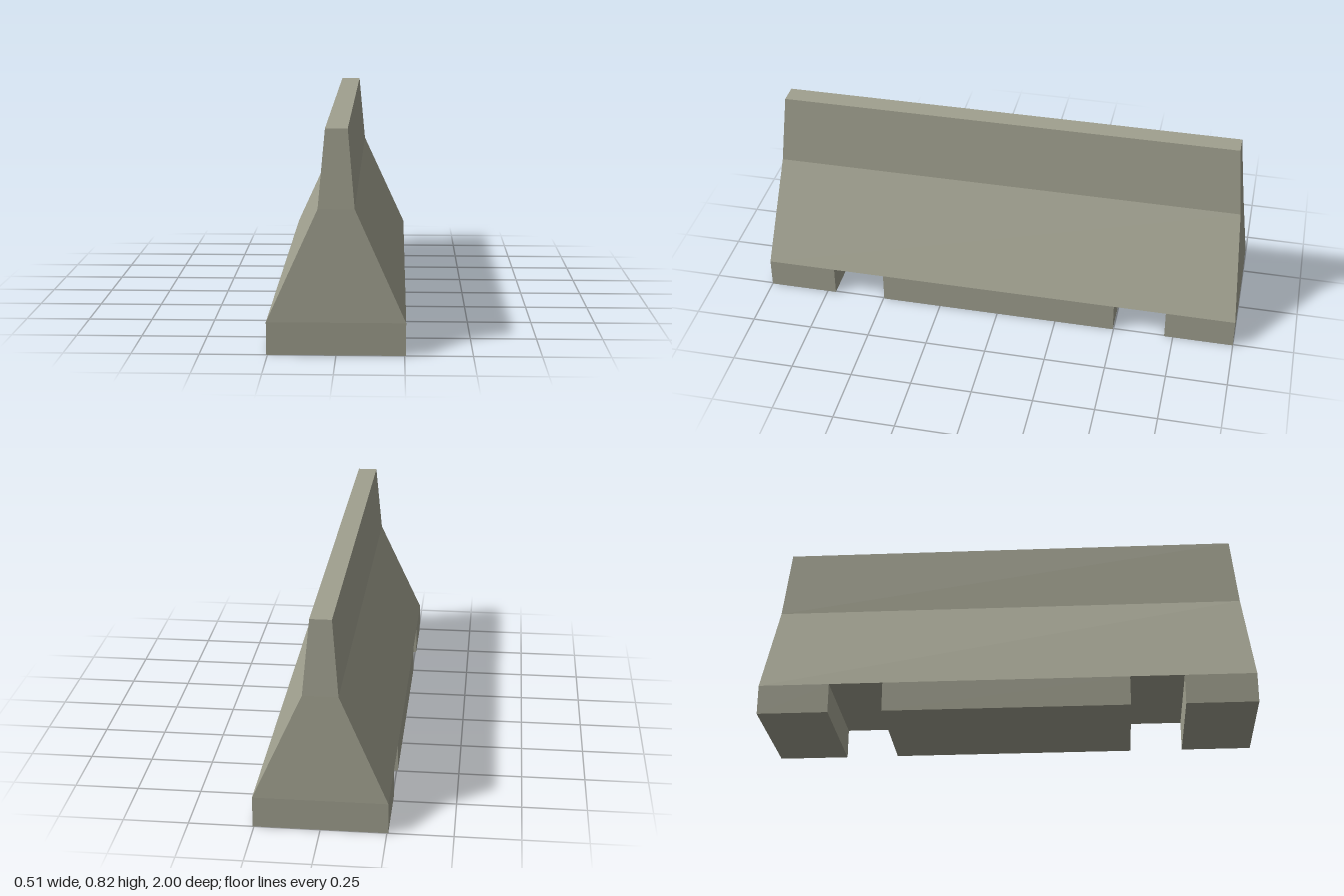
import * as THREE from 'three';

const concrete = new THREE.MeshStandardMaterial({ color: 0xa0a08f });
concrete.name = 'concrete';

// Cross-section rings from bottom to top: height, half width, half length
const RINGS = [
  [0.122, 0.255, 1.0],
  [0.535, 0.067, 0.97],
  [0.825, 0.041, 0.942],
];

// Tapered wall: a box with one middle ring, each ring moved to its size
function wallGeometry() {
  const box = new THREE.BoxGeometry(2, 2, 2, 1, 2, 1);
  const pos = box.attributes.position;
  for (let i = 0; i < pos.count; i++) {
    const [y, halfWidth, halfLength] = RINGS[Math.round(pos.getY(i)) + 1];
    pos.setXYZ(i, Math.sign(pos.getX(i)) * halfWidth, y, Math.sign(pos.getZ(i)) * halfLength);
  }
  const flat = box.toNonIndexed();
  flat.computeVertexNormals();
  return flat;
}

export function createModel() {
  const group = new THREE.Group();
  group.name = 'roadBarrier';

  const add = (name, geometry) => {
    const mesh = new THREE.Mesh(geometry, concrete);
    mesh.name = name;
    group.add(mesh);
    return mesh;
  };

  add('wall', wallGeometry());

  // Feet, with two forklift slots left open between them
  const [footHeight, halfWidth] = RINGS[0];
  const foot = (name, z0, z1) => {
    const mesh = add(name, new THREE.BoxGeometry(halfWidth * 2, footHeight, z1 - z0));
    mesh.position.set(0, footHeight / 2, (z0 + z1) / 2);
  };
  foot('frontFoot', 0.714, 1);
  foot('middleFoot', -0.497, 0.497);
  foot('backFoot', -1, -0.714);

  return group;
}
